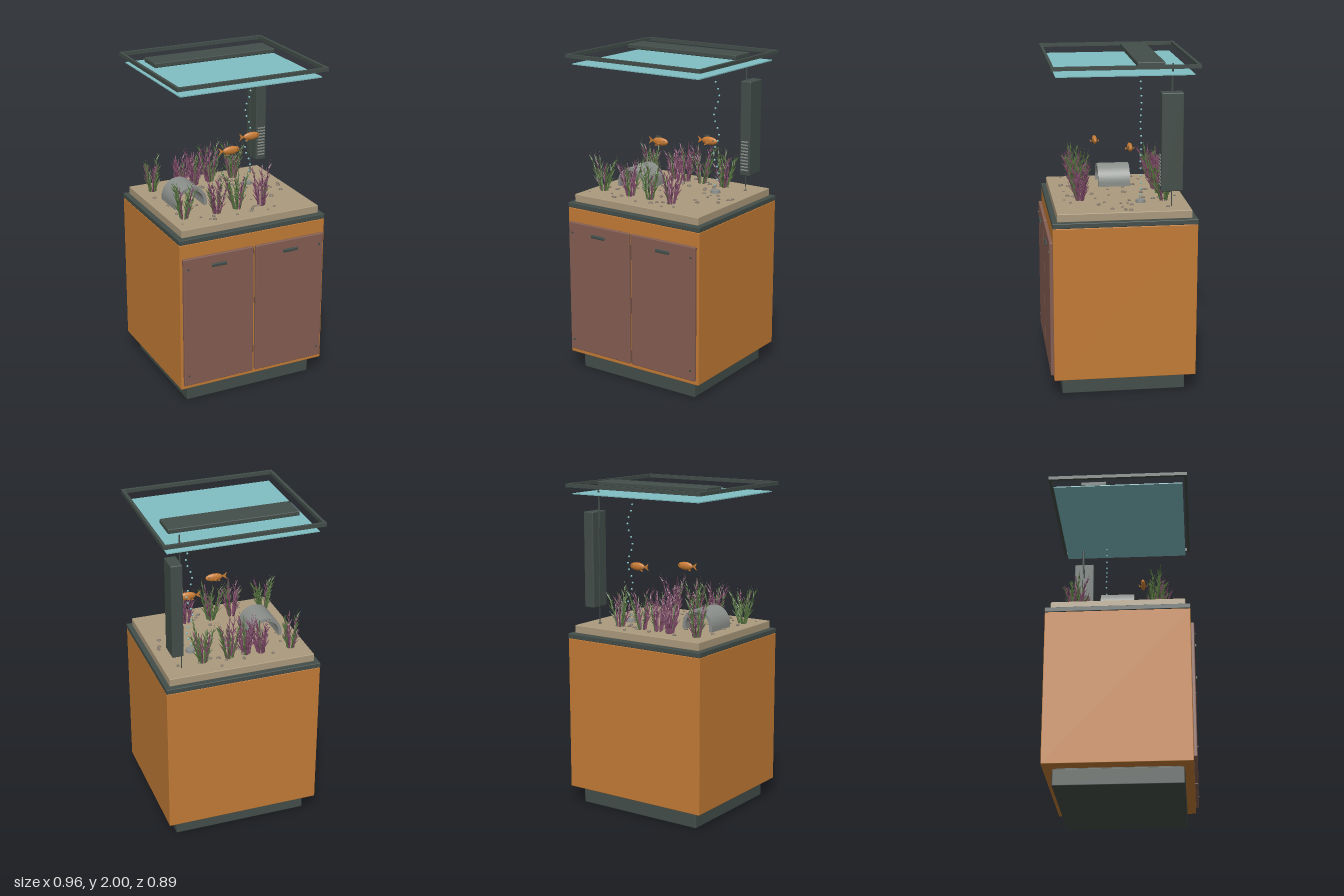
import * as THREE from 'three';
import { mergeGeometries } from 'three/addons/utils/BufferGeometryUtils.js';
import { RoundedBoxGeometry } from 'three/addons/geometries/RoundedBoxGeometry.js';

const paint = (name, color, extra = {}) => {
  const m = new THREE.MeshStandardMaterial({ color, ...extra });
  m.name = name;
  return m;
};

function seeded(seed) {
  return () => {
    seed = (seed * 16807) % 2147483647;
    return seed / 2147483647;
  };
}

// Tapered leaf or stem from a base point along a direction
function blade(base, dir, length, radius) {
  const g = new THREE.ConeGeometry(radius, length, 4, 1);
  g.translate(0, length / 2, 0);
  const up = new THREE.Vector3(0, 1, 0);
  g.applyQuaternion(new THREE.Quaternion().setFromUnitVectors(up, dir.clone().normalize()));
  return g.translate(base.x, base.y, base.z);
}

export function createModel() {
  const root = new THREE.Group();
  const wood = paint('cabinet wood', 0xc27b35);
  const doorMat = paint('door brown', 0x855e52);
  const dark = paint('charcoal', 0x434e49);
  const sand = paint('sand', 0xab9a7d);
  const glass = paint('glass teal', 0x80bfc3);
  const green = paint('plant green', 0x56743f, { flatShading: true });
  const purple = paint('plant purple', 0x7d4a66, { flatShading: true });
  const stone = paint('stone grey', 0x8b8f8b, { side: THREE.DoubleSide });
  const fishMat = paint('fish orange', 0xc97c34, { side: THREE.DoubleSide });
  const pebbleMat = paint('pebble brown', 0x80756a);

  const add = (name, geo, mat, parent = root) => {
    const m = new THREE.Mesh(geo, mat);
    m.name = name;
    parent.add(m);
    return m;
  };
  // Box given by its limits on each axis
  const box = (name, mat, [x0, x1], [y0, y1], [z0, z1], r = 0, parent = root) => {
    const s = [x1 - x0, y1 - y0, z1 - z0];
    const g = r ? new RoundedBoxGeometry(...s, 2, r) : new THREE.BoxGeometry(...s);
    g.translate((x0 + x1) / 2, (y0 + y1) / 2, (z0 + z1) / 2);
    return add(name, g, mat, parent);
  };

  // Cabinet
  box('plinth', dark, [-0.42, 0.42], [0, 0.1], [-0.385, 0.36], 0.006);
  box('plinthNeck', dark, [-0.4, 0.4], [0.09, 0.12], [-0.36, 0.34]);
  box('cabinet', wood, [-0.48, 0.48], [0.11, 1.055], [-0.443, 0.412], 0.004);
  for (const s of [-1, 1]) {
    const door = new THREE.Group();
    door.name = s < 0 ? 'rightDoor' : 'leftDoor';
    root.add(door);
    const span = (a, b) => (s < 0 ? [-b, -a] : [a, b]);
    box('doorPanel', doorMat, span(0.007, 0.465), [0.14, 0.97], [0.41, 0.432], 0.005, door);
    box('handle', dark, span(0.188, 0.285), [0.896, 0.916], [0.43, 0.443], 0.004, door);
    for (const y of [0.205, 0.905]) {
      const pin = new THREE.CylinderGeometry(0.006, 0.006, 0.008, 12);
      pin.rotateX(Math.PI / 2).translate(s * 0.436, y, 0.433);
      add('hingePin', pin, dark, door);
    }
  }

  // Tank base and sand
  box('baseFrame', dark, [-0.481, 0.481], [1.055, 1.086], [-0.445, 0.413], 0.004);
  box('sandBed', sand, [-0.452, 0.452], [1.086, 1.135], [-0.413, 0.383], 0.004);

  // Top rim, glass lid and lamp
  const rim = new THREE.Group();
  rim.name = 'topRim';
  root.add(rim);
  for (const s of [-1, 1]) {
    box('sideRail', dark, s < 0 ? [-0.48, -0.462] : [0.462, 0.48], [1.973, 1.995], [-0.445, 0.412], 0, rim);
  }
  box('backRail', dark, [-0.462, 0.462], [1.973, 1.995], [-0.445, -0.427], 0, rim);
  box('frontRail', dark, [-0.462, 0.462], [1.973, 1.995], [0.394, 0.412], 0, rim);
  box('glassLid', glass, [-0.452, 0.452], [1.931, 1.937], [-0.415, 0.383]);
  box('lamp', dark, [-0.396, 0.394], [1.972, 2], [-0.252, -0.091], 0.005);

  // Filter with grille, cable and heater rod
  box('filterBody', dark, [0.346, 0.416], [1.242, 1.825], [-0.36, -0.23], 0.006);
  for (let i = 0; i < 10; i++) {
    const y = 1.275 + i * 0.0195;
    box('filterSlat', stone, [0.356, 0.406], [y, y + 0.008], [-0.232, -0.226]);
  }
  const cablePath = new THREE.CatmullRomCurve3([
    new THREE.Vector3(0.345, 1.985, -0.305),
    new THREE.Vector3(0.343, 1.85, -0.299),
    new THREE.Vector3(0.346, 1.72, -0.296),
  ]);
  add('filterCable', new THREE.TubeGeometry(cablePath, 12, 0.005, 8), dark);
  add('airLine', new THREE.CylinderGeometry(0.003, 0.003, 0.85, 8).translate(0.344, 1.56, -0.305), dark);

  // Arched hide: a half pipe along z
  const arch = new THREE.Shape();
  arch.absarc(0, 0, 0.105, 0, Math.PI, false);
  arch.absarc(0, 0, 0.085, Math.PI, 0, true);
  const archGeo = new THREE.ExtrudeGeometry(arch, { depth: 0.2, bevelEnabled: false, curveSegments: 20 });
  add('archHide', archGeo.translate(-0.25, 1.158, -0.125), stone);
  for (const x of [-0.345, -0.155]) {
    box('archFoot', stone, [x - 0.01, x + 0.01], [1.13, 1.158], [-0.125, 0.075]);
  }

  // Air stone and its bubbles
  add('airStone', new THREE.CylinderGeometry(0.028, 0.03, 0.018, 20).translate(0.235, 1.143, -0.135), stone);
  const bubbles = [];
  for (let i = 0; i < 18; i++) {
    const y = 1.18 + i * 0.04;
    const x = 0.237 + 0.018 * Math.cos((y - 1.74) * 26);
    bubbles.push(new THREE.SphereGeometry(0.0065, 8, 6).translate(x, y, -0.135));
  }
  add('bubbles', mergeGeometries(bubbles), glass);

  // Pebbles
  const rnd = seeded(4711);
  const pebbles = [];
  for (let i = 0; i < 60; i++) {
    const r = 0.007 + rnd() * 0.009;
    const g = new THREE.SphereGeometry(r, 8, 6).scale(1, 0.55, 0.8).rotateY(rnd() * 6);
    pebbles.push(g.translate((rnd() - 0.5) * 0.82, 1.137, (rnd() - 0.5) * 0.7 - 0.015));
  }
  add('pebbles', mergeGeometries(pebbles), pebbleMat);

  // Plants: fans of stems, each with short leaves; last value is the share of purple stems
  const plants = [
    [-0.36, 0.21, 0.15], [-0.15, 0.22, 0.7], [-0.01, 0.21, 0.3], [0.15, 0.22, 0.9],
    [-0.35, -0.28, 0.4], [-0.16, -0.28, 0.9], [-0.07, -0.27, 0.8], [0.04, -0.28, 0.6], [0.205, -0.28, 0.45],
  ];
  for (const [px, pz, share] of plants) {
    const sets = { green: [], purple: [] };
    const count = 12;
    for (let i = 0; i < count; i++) {
      const set = (i + 0.5) / count < share ? sets.purple : sets.green;
      const a = i * 2.4 + rnd();
      const lean = 0.04 + rnd() * 0.28;
      const dir = new THREE.Vector3(Math.cos(a) * lean, 1, Math.sin(a) * lean).normalize();
      const base = new THREE.Vector3(px + Math.cos(a) * 0.018, 1.13, pz + Math.sin(a) * 0.018);
      const length = 0.17 + rnd() * 0.13;
      set.push(blade(base, dir, length, 0.007));
      for (let k = 0; k < 6; k++) {
        const b = a + k * 2.6;
        const at = base.clone().addScaledVector(dir, length * (0.2 + k * 0.11));
        const leaf = dir.clone().add(new THREE.Vector3(Math.cos(b) * 0.5, 0, Math.sin(b) * 0.5));
        set.push(blade(at, leaf, 0.062 - k * 0.004, 0.0055));
      }
    }
    for (const [key, mat] of [['green', green], ['purple', purple]]) {
      if (sets[key].length) add(key + 'Plant', mergeGeometries(sets[key]), mat);
    }
  }

  // Fish, facing +x
  const flat = (pts) => new THREE.ShapeGeometry(new THREE.Shape(pts.map(([x, y]) => new THREE.Vector2(x, y))));
  const tail = flat([[-0.036, 0], [-0.074, 0.026], [-0.062, 0], [-0.074, -0.024]]);
  const topFin = flat([[-0.025, 0.018], [0.03, 0.02], [0.008, 0.037], [-0.022, 0.036]]);
  const lowFin = flat([[-0.022, -0.016], [-0.03, -0.032], [0.005, -0.022]]);
  for (const [x, y, z] of [[-0.013, 1.472, 0.115], [0.218, 1.472, -0.07]]) {
    const fish = new THREE.Group();
    fish.name = 'fish';
    fish.position.set(x, y, z);
    root.add(fish);
    const body = new THREE.SphereGeometry(1, 20, 14).scale(0.055, 0.025, 0.015);
    add('fishBody', body.translate(0.012, 0, 0), fishMat, fish);
    add('tailFin', tail, fishMat, fish);
    add('topFin', topFin, dark, fish);
    add('lowerFin', lowFin, fishMat, fish);
    for (const s of [-1, 1]) {
      add('eye', new THREE.SphereGeometry(0.004, 8, 6).translate(0.046, 0.006, s * 0.011), dark, fish);
      const fin = flat([[0.022, 0], [-0.004, 0.006], [-0.002, -0.01]]);
      fin.rotateY(s * 0.6).translate(0.008, -0.006, s * 0.026);
      add('sideFin', fin, fishMat, fish);
    }
  }
  return root;
}
